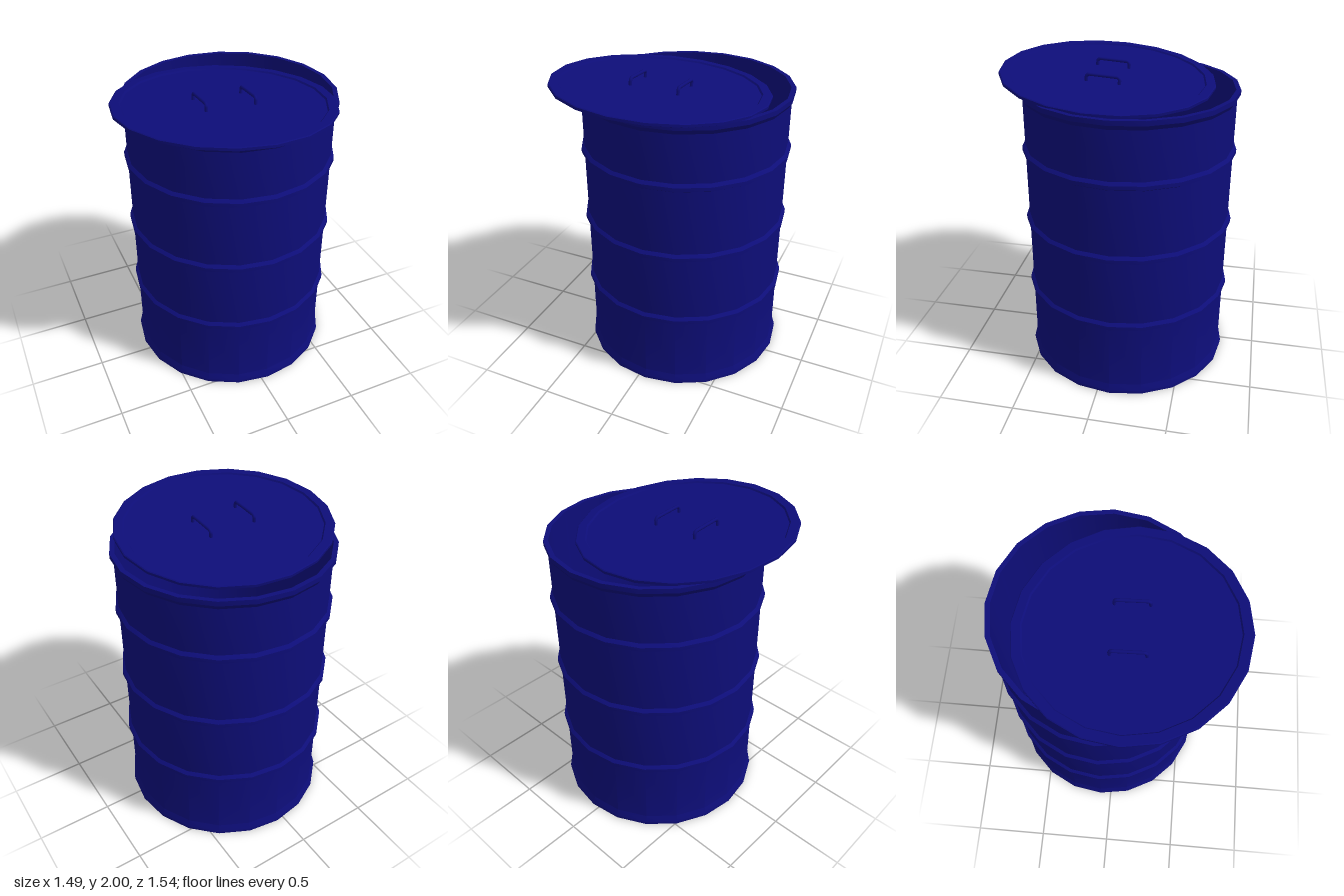
import * as THREE from 'three';
import { toCreasedNormals } from 'three/addons/utils/BufferGeometryUtils.js';

const SIDES = 20;
const blue = new THREE.MeshStandardMaterial({ color: 0x0d0d78 });
const grey = new THREE.MeshStandardMaterial({ color: 0x333333 });

// Revolved solid: smooth around the body, sharp across profile corners
function turned(name, profile) {
  const points = profile.map(([r, y]) => new THREE.Vector2(r, y));
  const geometry = toCreasedNormals(new THREE.LatheGeometry(points, SIDES), 0.5);
  const mesh = new THREE.Mesh(geometry, blue);
  mesh.name = name;
  return mesh;
}

function createDrum() {
  const drum = new THREE.Group();
  drum.name = 'drum';
  const wall = 0.67, bulge = 0.69, inner = 0.66, top = 1.91;

  // Flared foot, three rolled hoops, flared rim, then down the inside
  const profile = [[0, 0], [bulge, 0], [bulge, 0.02], [wall, 0.06]];
  for (const y of [0.53, 1.02, 1.51]) {
    profile.push([wall, y - 0.025], [bulge, y - 0.013], [bulge, y + 0.012], [wall, y + 0.03]);
  }
  profile.push([wall, 1.85], [bulge, 1.88], [bulge, top], [inner, top], [inner, 0.02]);
  drum.add(turned('drumBody', profile));

  // Inside floor
  const floor = new THREE.Mesh(new THREE.CylinderGeometry(inner, inner, 0.02, SIDES), grey);
  floor.name = 'innerFloor';
  floor.position.y = 0.02;
  drum.add(floor);

  drum.position.set(0.05, 0, -0.08);
  return drum;
}

function createLid() {
  const lid = new THREE.Group();
  lid.name = 'lid';

  // Disc with a slightly raised border; local y = 0 is the border's top
  lid.add(turned('lidDisc', [
    [0, -0.025], [0.68, -0.025], [0.692, -0.02], [0.692, -0.004],
    [0.686, 0], [0.632, 0], [0.624, -0.01], [0, -0.01],
  ]));

  // Two bent-rod handles
  const path = new THREE.CatmullRomCurve3([
    [-0.105, -0.012], [-0.105, 0.02], [-0.09, 0.034],
    [0.09, 0.034], [0.105, 0.02], [0.105, -0.012],
  ].map(([z, y]) => new THREE.Vector3(0, y, z)), false, 'catmullrom', 0.1);
  const rod = new THREE.TubeGeometry(path, 40, 0.011, 8);
  for (const side of [-1, 1]) {
    const handle = new THREE.Mesh(rod, blue);
    handle.name = side > 0 ? 'leftHandle' : 'rightHandle';
    handle.position.x = side * 0.16;
    lid.add(handle);
  }

  // Slid forward and tipped so its far edge drops inside the rim
  const normal = new THREE.Vector3(0.048, 1, -0.067).normalize();
  lid.quaternion.setFromUnitVectors(new THREE.Vector3(0, 1, 0), normal);
  lid.position.set(-0.053, 1.941, 0.078);
  return lid;
}

export function createModel() {
  const model = new THREE.Group();
  model.name = 'drumWithLooseLid';
  model.add(createDrum(), createLid());
  return model;
}
